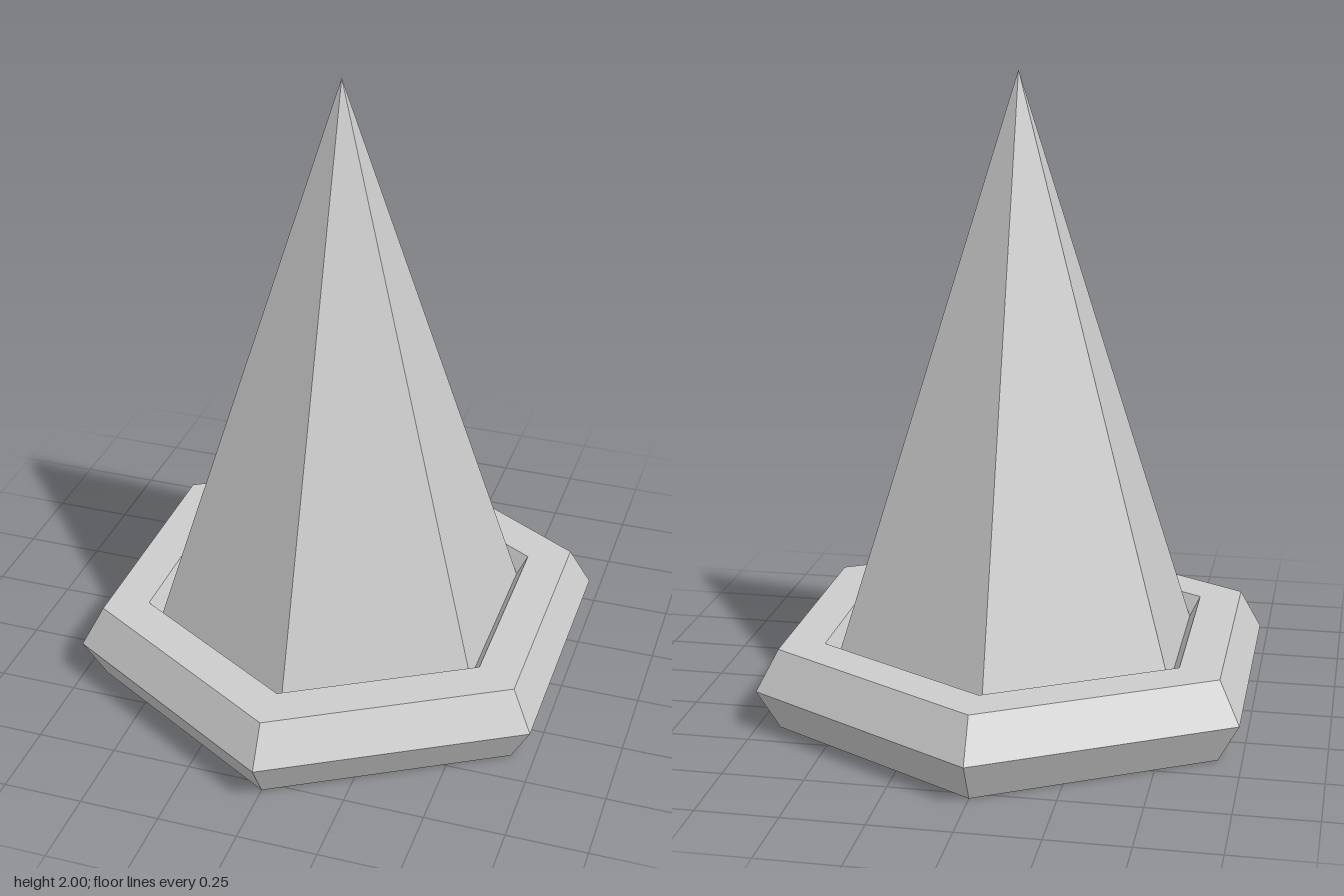
import * as THREE from 'three';

const SIDES = 6;

export function createModel() {
  const group = new THREE.Group();
  const material = new THREE.MeshStandardMaterial({
    color: 0xcccccc, flatShading: true, side: THREE.DoubleSide,
  });

  // Revolves a [radius, height] profile into a hexagonal shell with corners on z
  const addShell = (name, profile) => {
    const points = profile.map(([r, y]) => new THREE.Vector2(r, y));
    const mesh = new THREE.Mesh(new THREE.LatheGeometry(points, SIDES), material);
    mesh.name = name;
    group.add(mesh);
  };

  // Bevelled base ring: hollow, open underneath
  addShell('baseRing', [
    [0.783, 0], [0.857, 0.128], [0.783, 0.257], [0.635, 0.257], [0.561, 0.128],
  ]);

  // Pointed spire: open cone whose rim sits inside the ring
  const bottom = 0.128;
  const spire = new THREE.Mesh(
    new THREE.ConeGeometry(0.62, 2 - bottom, SIDES, 1, true), material);
  spire.position.y = (2 + bottom) / 2;
  spire.name = 'spire';
  group.add(spire);

  return group;
}
